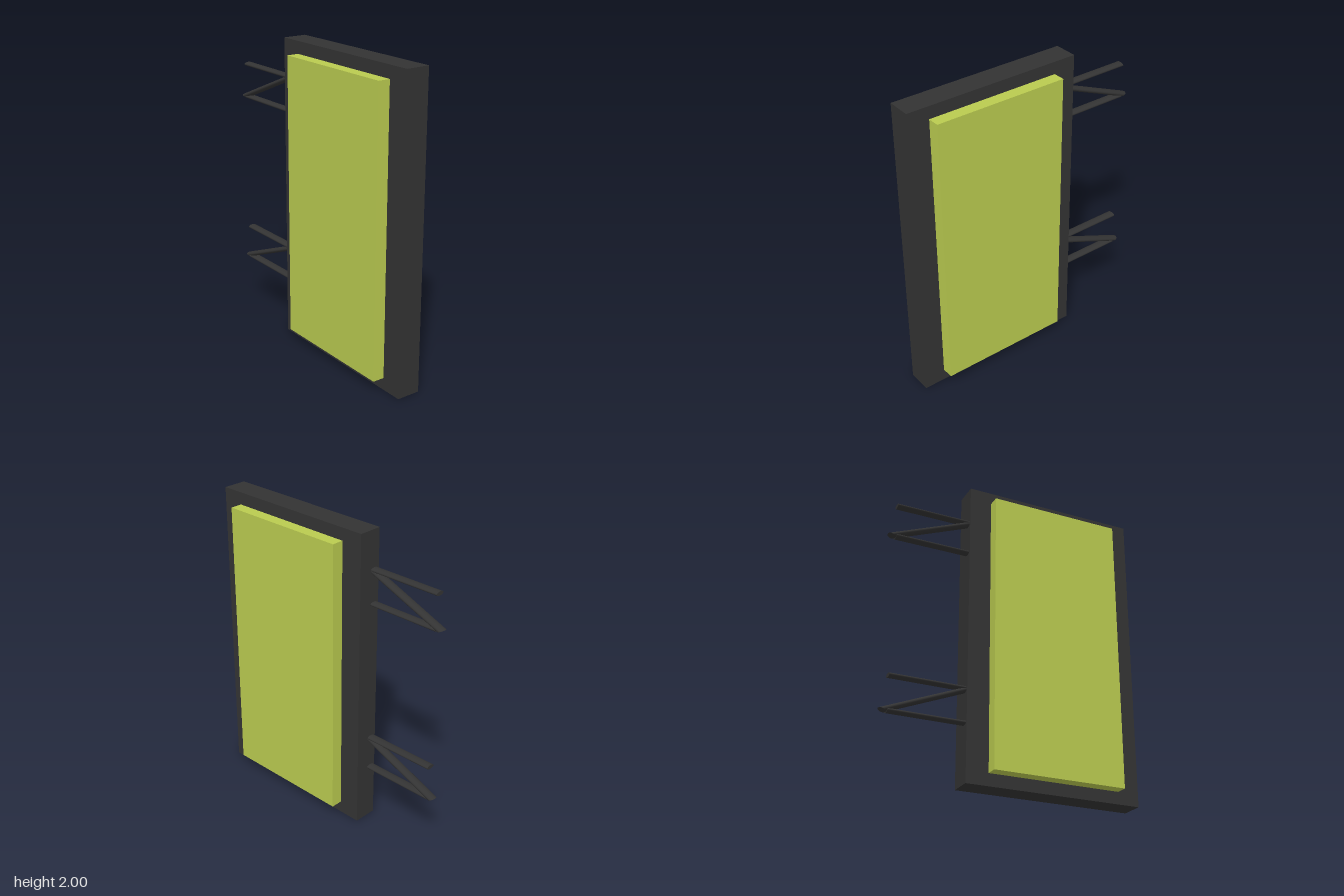
import * as THREE from 'three';

export function createModel() {
  const model = new THREE.Group();
  const dark = new THREE.MeshStandardMaterial({ color: 0x333333 });
  const green = new THREE.MeshStandardMaterial({ color: 0xb9ca4f });

  const add = (parent, name, geometry, material, x, y, z) => {
    const mesh = new THREE.Mesh(geometry, material);
    mesh.name = name;
    mesh.position.set(x, y, z);
    parent.add(mesh);
    return mesh;
  };

  // Upright slab with a thicker panel showing on both sides
  add(model, 'frame', new THREE.BoxGeometry(0.156, 2, 1.165), dark, 0, 1, 0.27);
  add(model, 'panel', new THREE.BoxGeometry(0.312, 1.84, 0.878), green, 0, 1, 0.272);

  // Z-shaped brackets of round rods, flattened vertically by the group scale
  const sy = 0.43, sz = 1.05, radius = 0.03;
  const rod = (length) => new THREE.CylinderGeometry(radius, radius, length, 16);

  [['lowerBracket', 0.377], ['upperBracket', 1.53]].forEach(([name, y]) => {
    const bracket = new THREE.Group();
    bracket.name = name;
    bracket.position.set(-0.04, y, -0.31);
    bracket.scale.set(1, sy, sz);
    model.add(bracket);

    // Horizontal rods, sunk slightly into the frame
    const length = 0.51 / sz;
    [['bottomRod', 0], ['topRod', 0.22 / sy]].forEach(([rodName, h]) => {
      add(bracket, rodName, rod(length), dark, 0, h, -0.235 / sz).rotation.x = Math.PI / 2;
    });

    // Diagonal rod from the top at the frame down to the far end
    const span = 0.53 / sz;
    const diagonal = add(bracket, 'diagonalRod', rod(span * Math.SQRT2), dark,
      0, span / 2, -0.517 / sz + span / 2);
    diagonal.rotation.x = Math.PI / 4;
  });

  return model;
}
